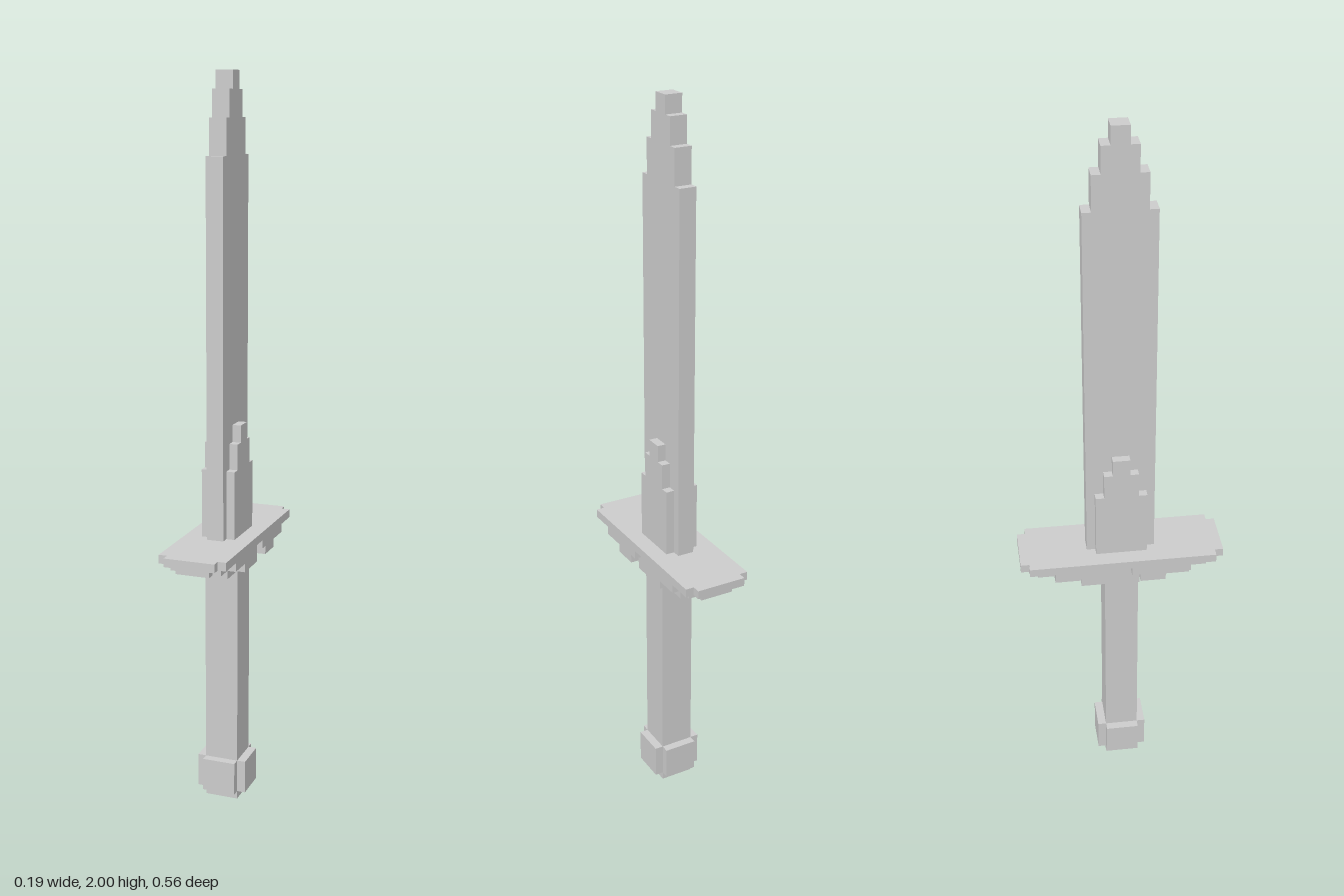
import * as THREE from 'three';

const U = 2 / 85; // one voxel
const material = new THREE.MeshStandardMaterial({ color: 0xcccccc, flatShading: true });

// Mirrored stepped outline in (z, y), given its right half from bottom to top,
// extruded across the voxel range x0..x1.
function slab(name, half, x0, x1) {
  const left = half.map(([z, y]) => [-z, y]).reverse();
  const points = [...half, ...left].map(([z, y]) => new THREE.Vector2(z * U, y * U));
  const geometry = new THREE.ExtrudeGeometry(new THREE.Shape(points), {
    depth: (x1 - x0) * U, bevelEnabled: false,
  });
  geometry.translate(0, 0, x0 * U);
  geometry.rotateY(Math.PI / 2);
  const mesh = new THREE.Mesh(geometry, material);
  mesh.name = name;
  return mesh;
}

// Turns [halfWidth, topY] steps into the right half of an outline.
function steps(bottom, list) {
  const half = [];
  let y = bottom;
  for (const [w, top] of list) {
    half.push([w, y], [w, top]);
    y = top;
  }
  return half;
}

// Vertical prism: square of half width 2, or a plus shape reaching 3.
function prism(name, y0, y1, plus) {
  const corners = plus
    ? [[3, -2], [3, 2], [2, 2], [2, 3], [-2, 3], [-2, 2], [-3, 2], [-3, -2], [-2, -2], [-2, -3], [2, -3], [2, -2]]
    : [[2, -2], [2, 2], [-2, 2], [-2, -2]];
  const shape = new THREE.Shape(corners.map(([x, z]) => new THREE.Vector2(x * U, z * U)));
  const geometry = new THREE.ExtrudeGeometry(shape, { depth: (y1 - y0) * U, bevelEnabled: false });
  geometry.rotateX(-Math.PI / 2);
  geometry.translate(0, y0 * U, 0);
  const mesh = new THREE.Mesh(geometry, material);
  mesh.name = name;
  return mesh;
}

export function createModel() {
  const sword = new THREE.Group();
  sword.name = 'sword';

  // Handle, from the bottom up
  sword.add(
    prism('pommelBase', 0, 1, false),
    prism('pommel', 1, 5, true),
    prism('grip', 5, 29, false),
    prism('collar', 29, 30, true),
  );

  // Guard: a core with narrower slabs on both sides, the outermost notched
  const guard = new THREE.Group();
  guard.name = 'guard';
  guard.add(slab('guardCore', steps(30, [[8, 31], [11, 32], [12, 33]]), -2, 2));
  const middle = steps(30, [[8, 31], [10, 32], [12, 33]]);
  const outer = [[1, 32], [1, 31], [2, 31], [2, 30], ...steps(30, [[5, 31], [8, 32], [11, 33]])];
  for (const [side, sign] of [['left', 1], ['right', -1]]) {
    const range = (a, b) => (sign > 0 ? [a, b] : [-b, -a]);
    guard.add(slab(side + 'GuardMiddle', middle, ...range(2, 3)));
    guard.add(slab(side + 'GuardOuter', outer, ...range(3, 4)));
    // Raised reinforcement at the root of the blade
    sword.add(slab(side + 'BladeRoot', steps(33, [[3, 41], [2, 44], [1, 46]]), ...range(1, 2)));
  }
  sword.add(guard);

  // Blade with a stepped tip
  sword.add(slab('blade', steps(33, [[4, 76], [3, 80], [2, 83], [1, 85]]), -1, 1));
  return sword;
}
